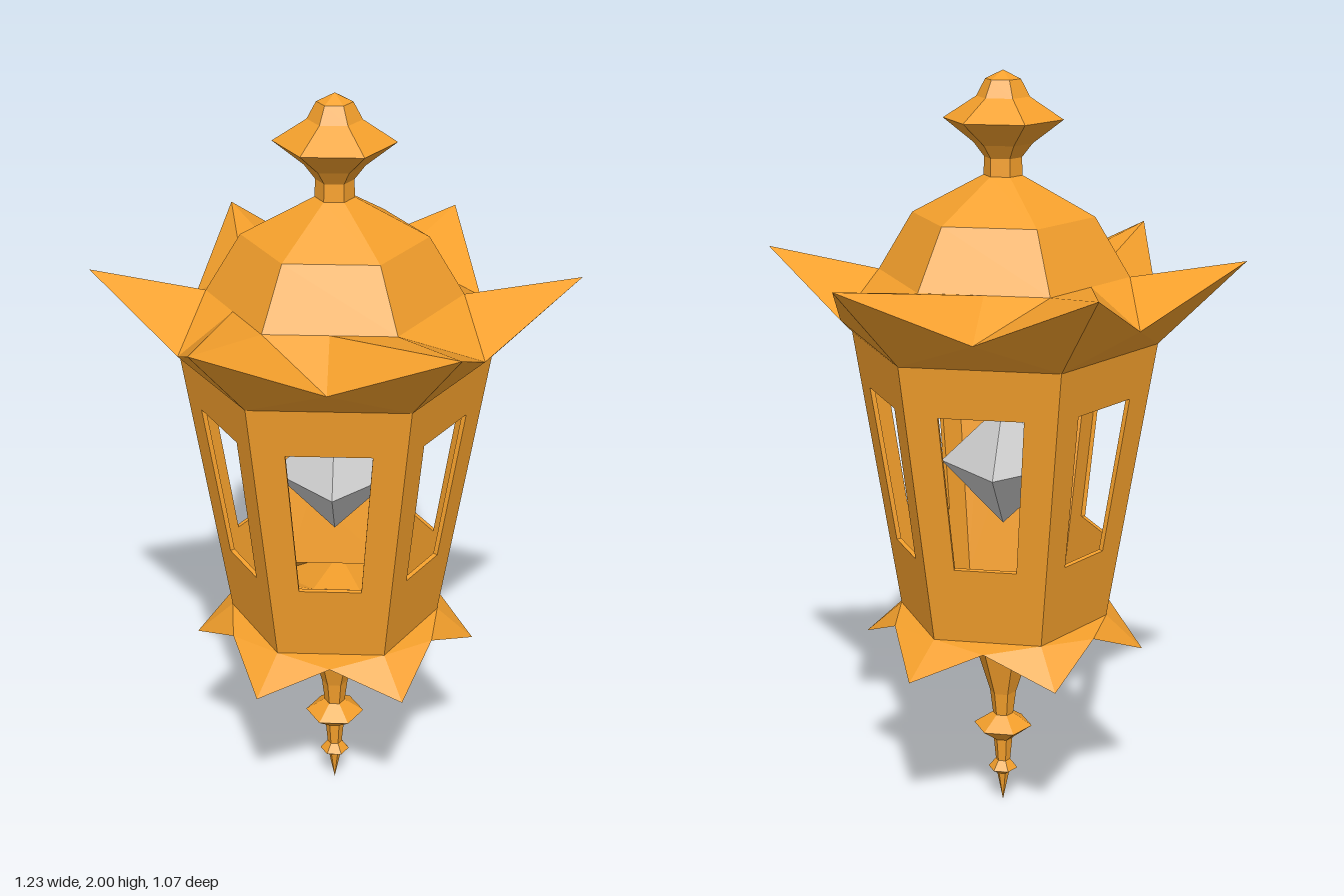
import * as THREE from 'three';

const orange = new THREE.MeshStandardMaterial({ color: 0xf5a02c, flatShading: true, side: THREE.DoubleSide });
const grey = new THREE.MeshStandardMaterial({ color: 0xcccccc, flatShading: true });

const BODY = { y0: 0.57, r0: 0.28, y1: 1.32, r1: 0.4 };
const SIDES = 6;

// Point at a radius, an angle in degrees (counted from +x) and a height
function polar(r, deg, y) {
  const a = THREE.MathUtils.degToRad(deg);
  return new THREE.Vector3(r * Math.cos(a), y, -r * Math.sin(a));
}

function mesh(name, geometry, material = orange) {
  const m = new THREE.Mesh(geometry, material);
  m.name = name;
  return m;
}

// Six-sided turned part from [radius, height] pairs
function hexTurned(name, profile) {
  const points = profile.map(([r, y]) => new THREE.Vector2(r, y));
  return mesh(name, new THREE.LatheGeometry(points, SIDES, Math.PI / 2));
}

// Faceted part: each of the six sectors returns its triangles
function sectors(name, trianglesOf) {
  const points = [];
  for (let k = 0; k < SIDES; k++) points.push(...trianglesOf(k, k * 60).flat());
  const g = new THREE.BufferGeometry().setFromPoints(points);
  g.computeVertexNormals();
  return mesh(name, g);
}

// Flat tapered wall with a tapered window, leaning outwards
function wallPanel() {
  const apothem = Math.cos(Math.PI / 6);
  const lean = Math.atan2((BODY.r1 - BODY.r0) * apothem, BODY.y1 - BODY.y0);
  const up = (y) => (y - BODY.y0) / Math.cos(lean);
  const trapezoid = (path, w0, y0, w1, y1) => {
    path.moveTo(-w0, up(y0));
    path.lineTo(w0, up(y0));
    path.lineTo(w1, up(y1));
    path.lineTo(-w1, up(y1));
    path.closePath();
    return path;
  };
  const shape = trapezoid(new THREE.Shape(), BODY.r0 / 2, BODY.y0, BODY.r1 / 2, BODY.y1);
  shape.holes.push(trapezoid(new THREE.Path(), 0.08, 0.775, 0.107, 1.19));
  const depth = 0.012;
  const g = new THREE.ExtrudeGeometry(shape, { depth, bevelEnabled: false });
  g.translate(0, 0, -depth);
  g.rotateX(lean);
  g.translate(0, BODY.y0, BODY.r0 * apothem);
  return g;
}

export function createModel() {
  const model = new THREE.Group();
  model.name = 'lantern';

  // Six windowed walls
  const walls = new THREE.Group();
  walls.name = 'walls';
  const panel = wallPanel();
  for (let k = 0; k < SIDES; k++) {
    const wall = mesh('wall', panel);
    wall.rotation.y = (k * Math.PI) / 3;
    walls.add(wall);
  }
  model.add(walls);

  // Star-shaped eaves with upturned points
  model.add(sectors('eaves', (k, a) => {
    const [t0, t1] = [a, a + 60].map((d) => polar(0.617, d, 1.54));
    const [r0, r1] = [a, a + 60].map((d) => polar(0.325, d, 1.49));
    const [b0, b1] = [a, a + 60].map((d) => polar(BODY.r1, d, BODY.y1));
    const v = polar(0.432, a + 30, 1.4);
    const m = r0.clone().lerp(r1, 0.5);
    const under = [[t0, b0, v], [v, b0, b1], [t1, v, b1]];
    let top = [[t0, v, r0], [v, r1, r0], [t1, r1, v]];
    if (k === 1 || k === 2) top = [[t0, v, m], [t0, m, r0], [v, r1, m], [t1, r1, v]];
    if (k === 3 || k === 4) top = [[t0, v, r0], [v, m, r0], [v, t1, m], [t1, r1, m]];
    return [...under, ...top];
  }));

  // Drooping star skirt under the walls
  model.add(sectors('skirt', (k, a) => {
    const [b0, b1] = [a, a + 60].map((d) => polar(BODY.r0, d, BODY.y0));
    const [t0, t1] = [a, a + 60].map((d) => polar(0.378, d, 0.48));
    const [i0, i1] = [a, a + 60].map((d) => polar(0.13, d, 0.555));
    const v = polar(0.305, a + 30, 0.562);
    return [
      [b0, t0, v], [b0, v, b1], [b1, v, t1],
      [t0, i0, v], [v, i0, i1], [v, i1, t1],
    ];
  }));

  // Domed roof and the knob on top
  model.add(hexTurned('roofDome', [[0.325, 1.49], [0.235, 1.64], [0.05, 1.74]]));
  model.add(hexTurned('topKnob', [
    [0.05, 1.74], [0.048, 1.785], [0.075, 1.82], [0.153, 1.88],
    [0.068, 1.935], [0.045, 1.978], [0, 2],
  ]));

  // Hanging pendant below
  model.add(hexTurned('pendant', [
    [0, 0], [0.017, 0.085], [0.04, 0.1], [0.02, 0.125], [0.026, 0.19],
    [0.08, 0.23], [0.028, 0.265], [0.036, 0.33], [0.083, 0.48], [0.13, 0.555],
  ]));

  // Faceted lamp inside
  const lamp = mesh('lamp', new THREE.OctahedronGeometry(0.165), grey);
  lamp.position.y = 0.98;
  model.add(lamp);

  return model;
}
